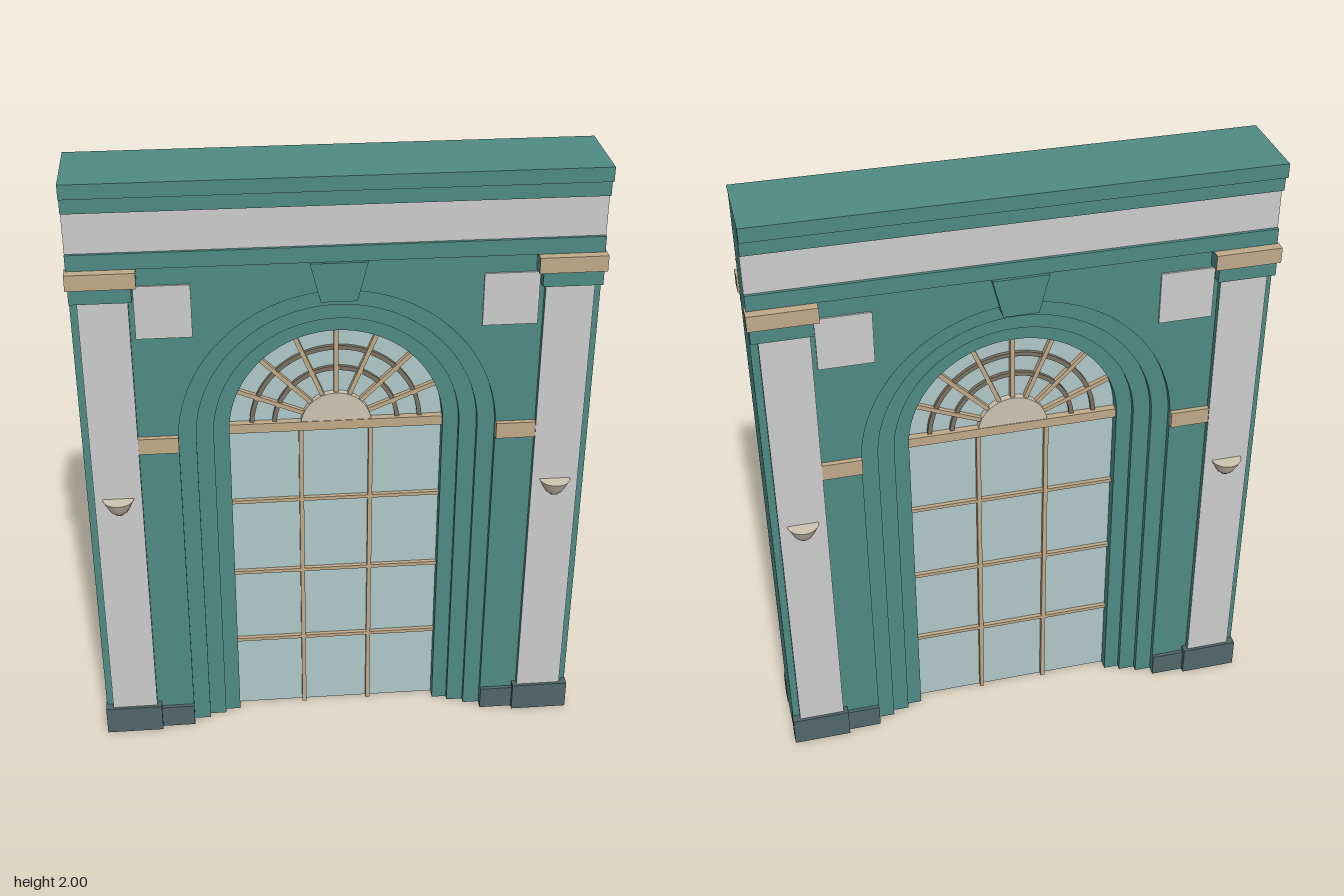
import * as THREE from 'three';

const mat = (name, color, side = THREE.FrontSide) => {
  const m = new THREE.MeshStandardMaterial({ color, side });
  m.name = name;
  return m;
};

export function createModel() {
  const teal = mat('teal paint', 0x4f8a84);
  const grey = mat('pale grey panel', 0xcbcbcb);
  const tan = mat('tan trim', 0xc0aa88);
  const stone = mat('cream stone', 0xcdc3af);
  const slate = mat('slate plinth', 0x50666a);
  const bronze = mat('bronze ring', 0x7b7362);
  const glass = mat('pale glass', 0xafc7c8, THREE.DoubleSide);

  const model = new THREE.Group();
  const face = new THREE.Group();
  face.name = 'frontFace';
  const SPRING = 1.125; // height of the arch centre

  const add = (parent, name, geo, material) => {
    const m = new THREE.Mesh(geo, material);
    m.name = name;
    parent.add(m);
    return m;
  };

  // Box given by its limits; the ends (+x, -x) may have their own colour
  const box = (name, x0, x1, y0, y1, z0, z1, material, ends = material) => {
    const g = new THREE.BoxGeometry(x1 - x0, y1 - y0, z1 - z0);
    g.translate((x0 + x1) / 2, (y0 + y1) / 2, (z0 + z1) / 2);
    const mats = ends === material ? material : [ends, ends, material, material, material, material];
    return add(face, name, g, mats);
  };
  // Same box on both sides of the centre line
  const pair = (name, x0, x1, ...rest) => {
    box(name + 'Left', x0, x1, ...rest);
    box(name + 'Right', -x1, -x0, ...rest);
  };

  // Slab with an arched doorway cut from the ground up
  const archSlab = (name, halfW, top, r, halfDepth) => {
    const s = new THREE.Shape();
    s.moveTo(r, 0);
    s.lineTo(halfW, 0);
    s.lineTo(halfW, top);
    s.lineTo(-halfW, top);
    s.lineTo(-halfW, 0);
    s.lineTo(-r, 0);
    s.lineTo(-r, SPRING);
    s.absarc(0, SPRING, r, Math.PI, 0, true);
    s.lineTo(r, 0);
    const g = new THREE.ExtrudeGeometry(s, { depth: halfDepth * 2, bevelEnabled: false, curveSegments: 40 });
    g.translate(0, 0, -halfDepth);
    add(model, name, g, teal);
  };
  archSlab('wall', 0.798, 2, 0.5, 0.095);
  archSlab('outerArchStep', 0.7, 1.9, 0.445, 0.075);
  archSlab('middleArchStep', 0.68, 1.88, 0.39, 0.055);
  archSlab('innerArchStep', 0.66, 1.86, 0.34, 0.036);

  // Glazing filling the arch
  const pane = new THREE.Shape();
  pane.moveTo(-0.345, 0);
  pane.lineTo(0.345, 0);
  pane.lineTo(0.345, SPRING);
  pane.absarc(0, SPRING, 0.345, 0, Math.PI, false);
  pane.lineTo(-0.345, 0);
  add(model, 'glazing', new THREE.ShapeGeometry(pane, 40), glass);

  // Mouldings: open-ended strips following a [z, y] profile across the width
  const moulding = (name, profile, material) => {
    const pos = [];
    const w = 0.799;
    for (let i = 0; i < profile.length - 1; i++) {
      const [za, ya] = profile[i], [zb, yb] = profile[i + 1];
      const a = [-w, ya, za], b = [-w, yb, zb], c = [w, yb, zb], d = [w, ya, za];
      pos.push(...a, ...b, ...c, ...a, ...c, ...d);
    }
    const g = new THREE.BufferGeometry();
    g.setAttribute('position', new THREE.Float32BufferAttribute(pos, 3));
    g.computeVertexNormals();
    add(face, name, g, material);
  };
  moulding('cornice', [[0, 2], [0.135, 2], [0.135, 1.955], [0.117, 1.955], [0.117, 1.905], [0.1, 1.905]], teal);
  moulding('frieze', [[0.1, 1.905], [0.1, 1.775]], grey);
  moulding('architrave', [[0.1, 1.775], [0.11, 1.775], [0.11, 1.725], [0.095, 1.725]], teal);

  // Pilasters with plinths and capitals
  pair('pilaster', 0.625, 0.775, 0.05, 1.65, 0.08, 0.115, grey, teal);
  pair('pilasterPlinth', 0.61, 0.8, 0, 0.1, 0.08, 0.125, slate);
  pair('wallPlinth', 0.5, 0.61, 0, 0.08, 0.08, 0.108, slate);
  pair('capitalNeck', 0.613, 0.797, 1.625, 1.675, 0.08, 0.126, teal);
  pair('capital', 0.597, 0.804, 1.675, 1.725, 0.09, 0.14, tan, teal);
  pair('impostBand', 0.5, 0.627, 1.098, 1.152, 0.08, 0.112, tan);
  pair('squarePanel', 0.44, 0.61, 1.493, 1.665, 0.094, 0.101, grey);

  // Keystone
  const key = new THREE.Shape([
    new THREE.Vector2(-0.055, 1.6), new THREE.Vector2(0.055, 1.6),
    new THREE.Vector2(0.087, 1.725), new THREE.Vector2(-0.087, 1.725),
  ]);
  const keyGeo = new THREE.ExtrudeGeometry(key, { depth: 0.05, bevelEnabled: false });
  keyGeo.translate(0, 0, 0.07);
  add(face, 'keystone', keyGeo, teal);

  // Half-bowl wall lamps
  const bowl = [[0, 0.885], [0.015, 0.888], [0.028, 0.9], [0.038, 0.918], [0.05, 0.942]]
    .map(([r, y]) => new THREE.Vector2(r, y));
  for (const s of [-1, 1]) {
    const lamp = new THREE.Group();
    lamp.name = s > 0 ? 'lampLeft' : 'lampRight';
    add(lamp, 'bowl', new THREE.LatheGeometry(bowl, 20, -Math.PI / 2, Math.PI), stone);
    const lid = new THREE.CircleGeometry(0.05, 20, Math.PI, Math.PI);
    lid.rotateX(-Math.PI / 2);
    add(lamp, 'lid', lid, stone).position.y = 0.942;
    lamp.position.set(s * 0.7, 0, 0.115);
    face.add(lamp);
  }

  // Glazing bars of the lower window
  pair('uprightBar', 0.105, 0.119, 0, 1.11, 0, 0.016, tan);
  for (const y of [0.282, 0.563, 0.843]) box('crossBar', -0.34, 0.34, y - 0.006, y + 0.006, 0, 0.014, tan);
  box('transom', -0.34, 0.34, 1.108, 1.14, 0, 0.024, tan);

  // Fanlight: hub, spokes and two rings
  const hub = new THREE.CylinderGeometry(0.113, 0.113, 0.022, 32, 1, false, -Math.PI / 2, Math.PI);
  hub.rotateX(-Math.PI / 2);
  hub.rotateZ(hubFlip(hub));
  add(face, 'fanHub', hub, stone).position.set(0, SPRING, 0.011);
  for (let i = 1; i < 8; i++) {
    const a = (i * Math.PI) / 8;
    const spoke = new THREE.BoxGeometry(0.24, 0.014, 0.016);
    spoke.translate(0.225, 0, 0.008);
    spoke.rotateZ(a);
    add(face, 'fanSpoke', spoke, tan).position.y = SPRING;
  }
  for (const r of [0.196, 0.268]) {
    const ring = new THREE.Shape();
    ring.absarc(0, 0, r + 0.007, 0, Math.PI, false);
    ring.absarc(0, 0, r - 0.007, Math.PI, 0, true);
    const g = new THREE.ExtrudeGeometry(ring, { depth: 0.012, bevelEnabled: false, curveSegments: 32 });
    add(face, 'fanRing', g, bronze).position.y = SPRING;
  }

  // The back repeats the front
  const back = face.clone();
  back.name = 'backFace';
  back.rotation.y = Math.PI;
  model.add(face, back);
  return model;
}

// Half turn if the half disc points down
function hubFlip(g) {
  g.computeBoundingBox();
  return g.boundingBox.max.y < 0.05 ? Math.PI : 0;
}
